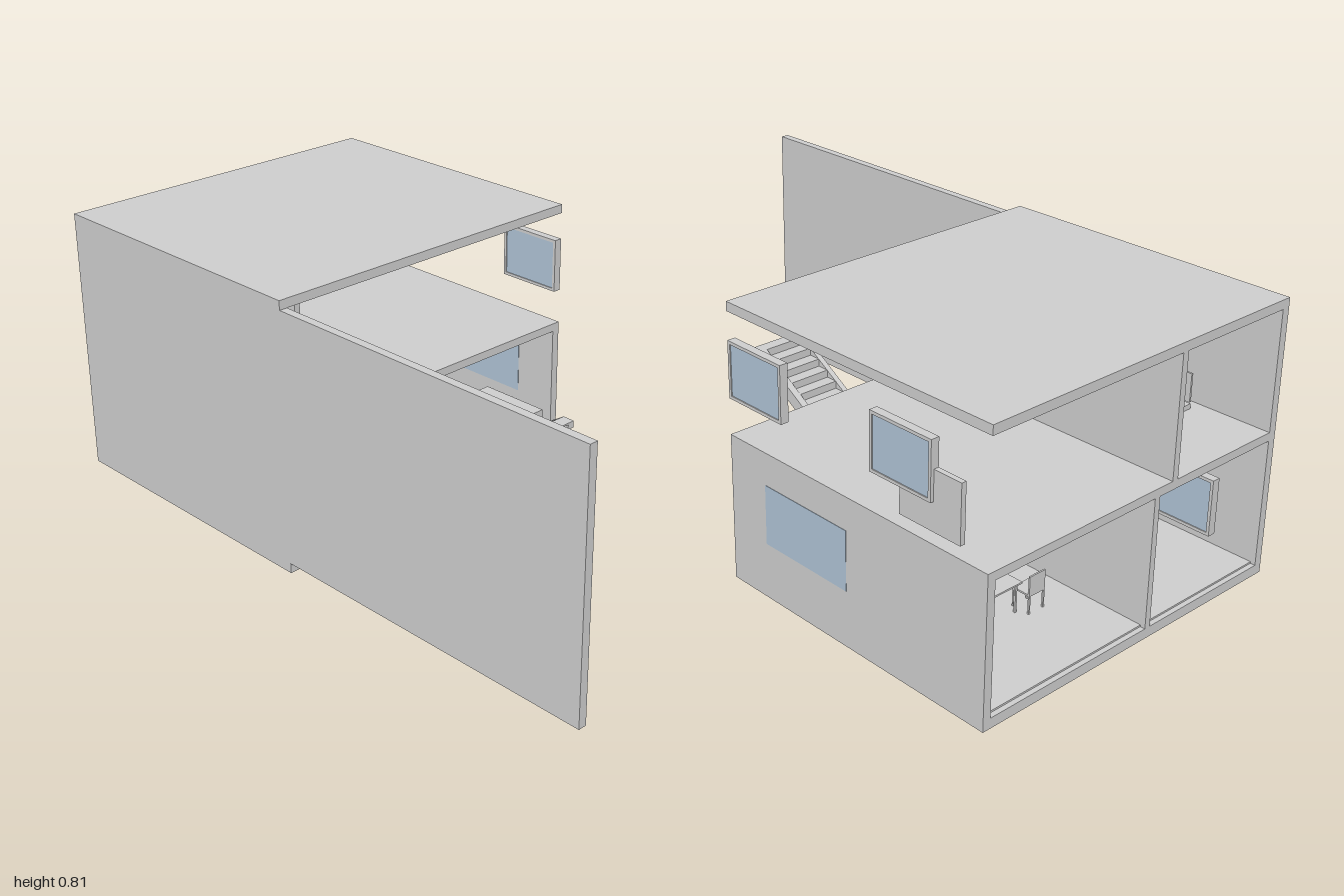
import * as THREE from 'three';

const plaster = new THREE.MeshStandardMaterial({ color: 0xcccccc });
plaster.name = 'plasterGrey';
const glass = new THREE.MeshStandardMaterial({ color: 0xaec2d4 });
glass.name = 'windowBlue';

// Box given by its lower and upper limits on each axis
function block(parent, name, [x0, x1], [y0, y1], [z0, z1], material = plaster) {
  const mesh = new THREE.Mesh(new THREE.BoxGeometry(x1 - x0, y1 - y0, z1 - z0), material);
  mesh.position.set((x0 + x1) / 2, (y0 + y1) / 2, (z0 + z1) / 2);
  mesh.name = name;
  parent.add(mesh);
  return mesh;
}

function group(parent, name) {
  const g = new THREE.Group();
  g.name = name;
  parent.add(g);
  return g;
}

// Framed window with a recessed pane
function framedWindow(parent, name, [x0, x1], [y0, y1], [z0, z1]) {
  const g = group(parent, name), b = 0.009;
  block(g, 'frameBottom', [x0, x1], [y0, y0 + b], [z0, z1]);
  block(g, 'frameTop', [x0, x1], [y1 - b, y1], [z0, z1]);
  block(g, 'frameLeft', [x1 - b, x1], [y0 + b, y1 - b], [z0, z1]);
  block(g, 'frameRight', [x0, x0 + b], [y0 + b, y1 - b], [z0, z1]);
  block(g, 'pane', [x0 + b, x1 - b], [y0 + b, y1 - b], [z0 + 0.003, z1 - 0.003], glass);
}

// Four legs standing inside a footprint
function legs(parent, [x0, x1], [y0, y1], [z0, z1], t) {
  for (const x of [x0, x1 - t]) for (const z of [z0, z1 - t])
    block(parent, 'leg', [x, x + t], [y0, y1], [z, z + t]);
}

function staircase(parent) {
  const g = group(parent, 'staircase');
  const count = 16, floor = 0.035, rise = 0.37 / count, run = 0.038;
  const start = 0.39 - run * count, z = [-0.085, 0.05];
  for (let i = 0; i < count; i++) {
    const x = start + i * run, y = floor + (i + 1) * rise;
    block(g, 'tread', [x, x + run], [y - 0.005, y], z);
    block(g, 'riser', [x, x + 0.005], [y - rise, y - 0.005], z);
  }
  // Sloping side boards
  const side = new THREE.Shape([
    [-0.25, floor], [-0.18, floor], [0.39, 0.385], [0.39, 0.405], [0.353, 0.405],
  ].map(p => new THREE.Vector2(...p)));
  for (const [z0, depth] of [[-0.107, 0.022], [0.05, 0.017]]) {
    const geo = new THREE.ExtrudeGeometry(side, { depth, bevelEnabled: false });
    const board = new THREE.Mesh(geo, plaster);
    board.position.z = z0;
    board.name = 'stringer';
    g.add(board);
  }
}

export function createModel() {
  const model = new THREE.Group();
  model.name = 'house';
  const X = [-1, -0.06];

  // Slabs and walls
  block(model, 'baseSlab', X, [0, 0.03], [-0.54, 0.54]);
  block(model, 'innerFloor', [-0.985, -0.065], [0.029, 0.035], [-0.515, 0.515]);
  block(model, 'middleSlab', X, [0.41, 0.435], [-0.54, 0.515]);
  block(model, 'roofSlab', X, [0.785, 0.812], [-0.54, 0.54]);
  block(model, 'frontWall', [-1, 1], [0.03, 0.785], [0.515, 0.54]);
  block(model, 'backWall', X, [0.03, 0.41], [-0.54, -0.515]);
  block(model, 'lowerPartition', X, [0.03, 0.41], [0.05, 0.069]);
  block(model, 'upperPartition', [-1, -0.5], [0.435, 0.785], [0.115, 0.135]);

  // Windows
  framedWindow(model, 'upperBackWindowLeft', [-0.27, -0.06], [0.54, 0.704], [-0.54, -0.515]);
  framedWindow(model, 'upperBackWindowRight', [-0.81, -0.6], [0.54, 0.704], [-0.54, -0.515]);
  framedWindow(model, 'lowerRoomWindow', [-0.98, -0.77], [0.19, 0.355], [0.315, 0.34]);
  block(model, 'lowerBackWindow', [-0.515, -0.2], [0.165, 0.34], [-0.5412, -0.5395], glass);
  block(model, 'lowerBackWindowInside', [-0.515, -0.2], [0.165, 0.34], [-0.5155, -0.5138], glass);
  block(model, 'backPanel', [-0.9, -0.695], [0.46, 0.625], [-0.53, -0.515]);

  // Beds
  for (const x of [[-0.32, -0.1], [-0.77, -0.55]]) {
    const bed = group(model, 'bed');
    block(bed, 'mattress', x, [0.435, 0.45], [0.21, 0.475]);
    block(bed, 'headboard', x, [0.455, 0.54], [0.469, 0.475]);
  }

  // Table, chair and cabinet
  const table = group(model, 'table');
  block(table, 'tableTop', [-0.74, -0.5], [0.123, 0.128], [-0.255, -0.135]);
  legs(table, [-0.73, -0.51], [0.035, 0.123], [-0.248, -0.142], 0.006);
  const chair = group(model, 'chair');
  block(chair, 'seat', [-0.76, -0.7], [0.088, 0.093], [-0.128, -0.07]);
  block(chair, 'backrest', [-0.76, -0.755], [0.093, 0.148], [-0.128, -0.07]);
  legs(chair, [-0.76, -0.7], [0.035, 0.088], [-0.128, -0.07], 0.005);
  block(model, 'cabinet', [-0.32, -0.08], [0.035, 0.143], [-0.5, -0.38]);

  staircase(model);
  return model;
}
